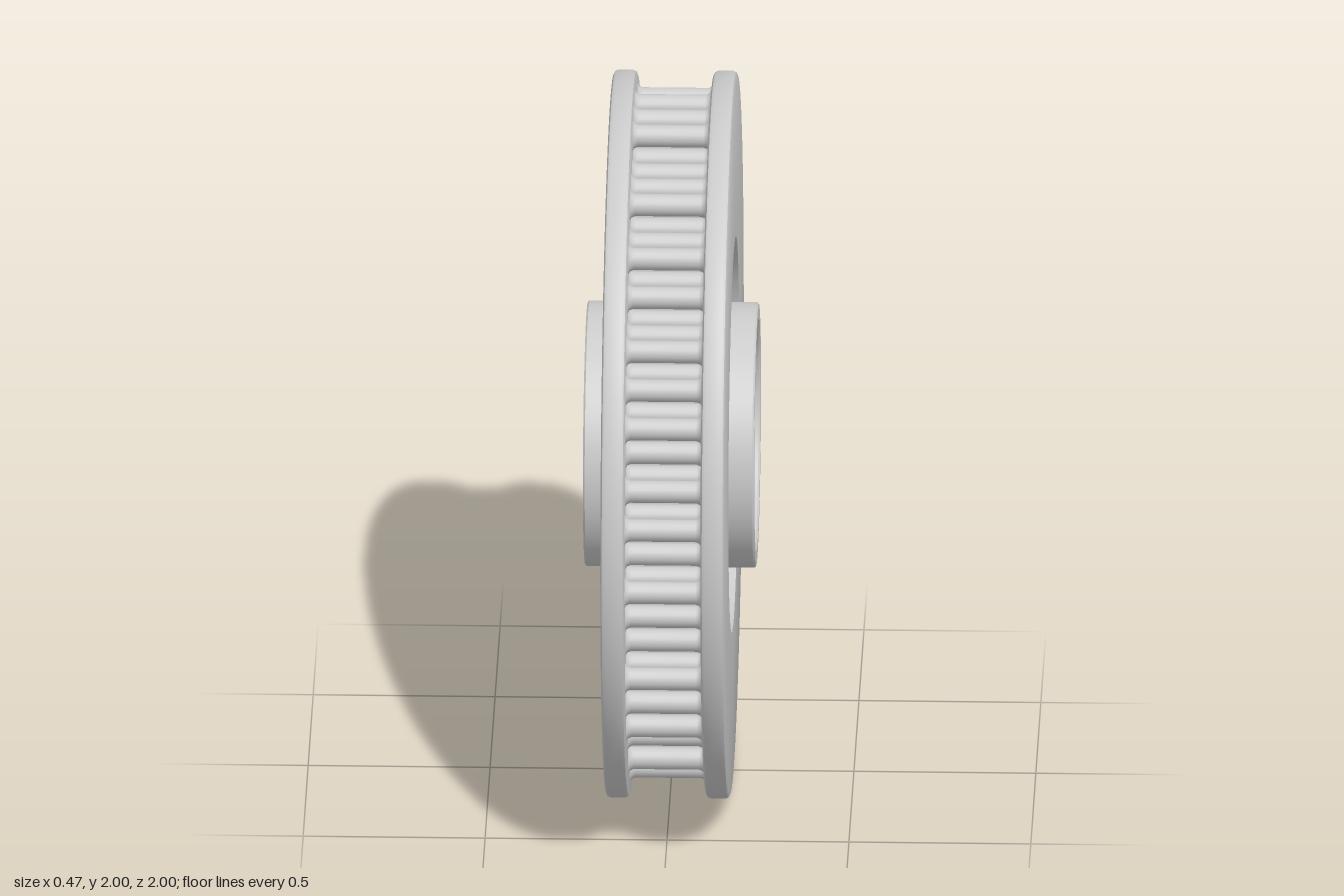
import * as THREE from 'three';
import { mergeGeometries, toCreasedNormals } from 'three/addons/utils/BufferGeometryUtils.js';

const grey = new THREE.MeshStandardMaterial({ color: 0xcccccc });

// Everything is modelled around the z axis, then turned so the axle lies on x.
function mesh(name, geometry) {
  const m = new THREE.Mesh(geometry, grey);
  m.name = name;
  return m;
}

// Closed ring from [radius, z] corners, listed anticlockwise in the radius-z plane
function ring(corners, segments = 128) {
  const pts = [...corners, corners[0]].map(([r, z]) => new THREE.Vector2(r, z));
  const g = new THREE.LatheGeometry(pts, segments).rotateX(Math.PI / 2);
  return toCreasedNormals(g, 0.5);
}

export function createModel() {
  const model = new THREE.Group();
  model.name = 'ventilatedBrakeDisc';
  const assembly = new THREE.Group();
  assembly.name = 'discAssembly';
  model.add(assembly);

  // Two friction rings with softened rims
  const inner = 0.105, outer = 0.17, hole = 0.545, c = 0.012;
  const plate = [
    [hole, inner], [1 - c, inner], [0.996, inner + 0.004], [1, inner + c],
    [1, outer - c], [0.996, outer - 0.004], [1 - c, outer], [hole, outer],
  ];
  assembly.add(mesh('leftFrictionRing', ring(plate)));
  assembly.add(mesh('rightFrictionRing', ring(plate.map(([r, z]) => [r, -z]).reverse())));

  // Staggered grid of cooling pins, flared where they meet the rings
  const pinProfile = [
    [0.043, -inner], [0.035, -0.1], [0.031, -0.09],
    [0.031, 0.09], [0.035, 0.1], [0.043, inner],
  ].map(([r, z]) => new THREE.Vector2(r, z));
  const pin = new THREE.LatheGeometry(pinProfile, 18).rotateX(Math.PI / 2);
  const rowStep = 0.093, pinStep = 0.1074;
  const pins = [];
  for (let row = -10; row <= 10; row++) {
    for (let col = -10; col <= 10; col++) {
      const x = (col + (row % 2 ? 0.5 : 0)) * pinStep;
      const y = row * rowStep + 0.004;
      const r = Math.hypot(x, y);
      if (r > 0.59 && r < 0.947) pins.push(pin.clone().translate(x, y, 0));
    }
  }
  assembly.add(mesh('coolingPins', mergeGeometries(pins)));

  // Carrier flange with twelve bolt holes
  const half = 0.1, bevel = 0.008;
  const flange = new THREE.Shape().absarc(0, 0, 0.5 - bevel, 0, Math.PI * 2);
  flange.holes.push(new THREE.Path().absarc(0, 0, 0.34, 0, Math.PI * 2, true));
  for (let i = 0; i < 12; i++) {
    const a = (i * Math.PI) / 6;
    flange.holes.push(new THREE.Path().absarc(
      0.435 * Math.cos(a), 0.435 * Math.sin(a), 0.021 + bevel / 2, 0, Math.PI * 2, true));
  }
  const flangeGeometry = new THREE.ExtrudeGeometry(flange, {
    depth: 2 * (half - bevel), bevelEnabled: true, bevelThickness: bevel,
    bevelSize: bevel / 2, bevelSegments: 1, curveSegments: 48,
  }).translate(0, 0, -(half - bevel));
  assembly.add(mesh('carrierFlange', toCreasedNormals(flangeGeometry, 0.5)));

  // Hub sleeve through the middle
  assembly.add(mesh('hubSleeve', ring([
    [0.315, -0.23], [0.32, -0.235], [0.36, -0.235], [0.365, -0.23],
    [0.365, 0.23], [0.36, 0.235], [0.32, 0.235], [0.315, 0.23],
  ], 96)));

  // Waisted bridges tying the flange to the friction rings
  const bridge = new THREE.Shape();
  bridge.moveTo(0.48, -0.09);
  bridge.lineTo(0.495, -0.09);
  bridge.quadraticCurveTo(0.51, -0.06, 0.55, -inner);
  bridge.lineTo(0.635, -inner);
  bridge.lineTo(0.635, inner);
  bridge.lineTo(0.55, inner);
  bridge.quadraticCurveTo(0.51, 0.06, 0.495, 0.09);
  bridge.lineTo(0.48, 0.09);
  bridge.closePath();
  const bridgeGeometry = toCreasedNormals(
    new THREE.ExtrudeGeometry(bridge, { depth: 0.13, bevelEnabled: false, curveSegments: 8 })
      .translate(0, 0, -0.065).rotateX(Math.PI / 2), 0.6);
  const bridges = new THREE.Group();
  bridges.name = 'bridges';
  for (let i = 0; i < 12; i++) {
    const b = mesh('bridge', bridgeGeometry);
    b.rotation.z = (i * Math.PI) / 6;
    bridges.add(b);
  }
  assembly.add(bridges);

  assembly.rotation.y = Math.PI / 2;
  assembly.position.y = 1;
  return model;
}
